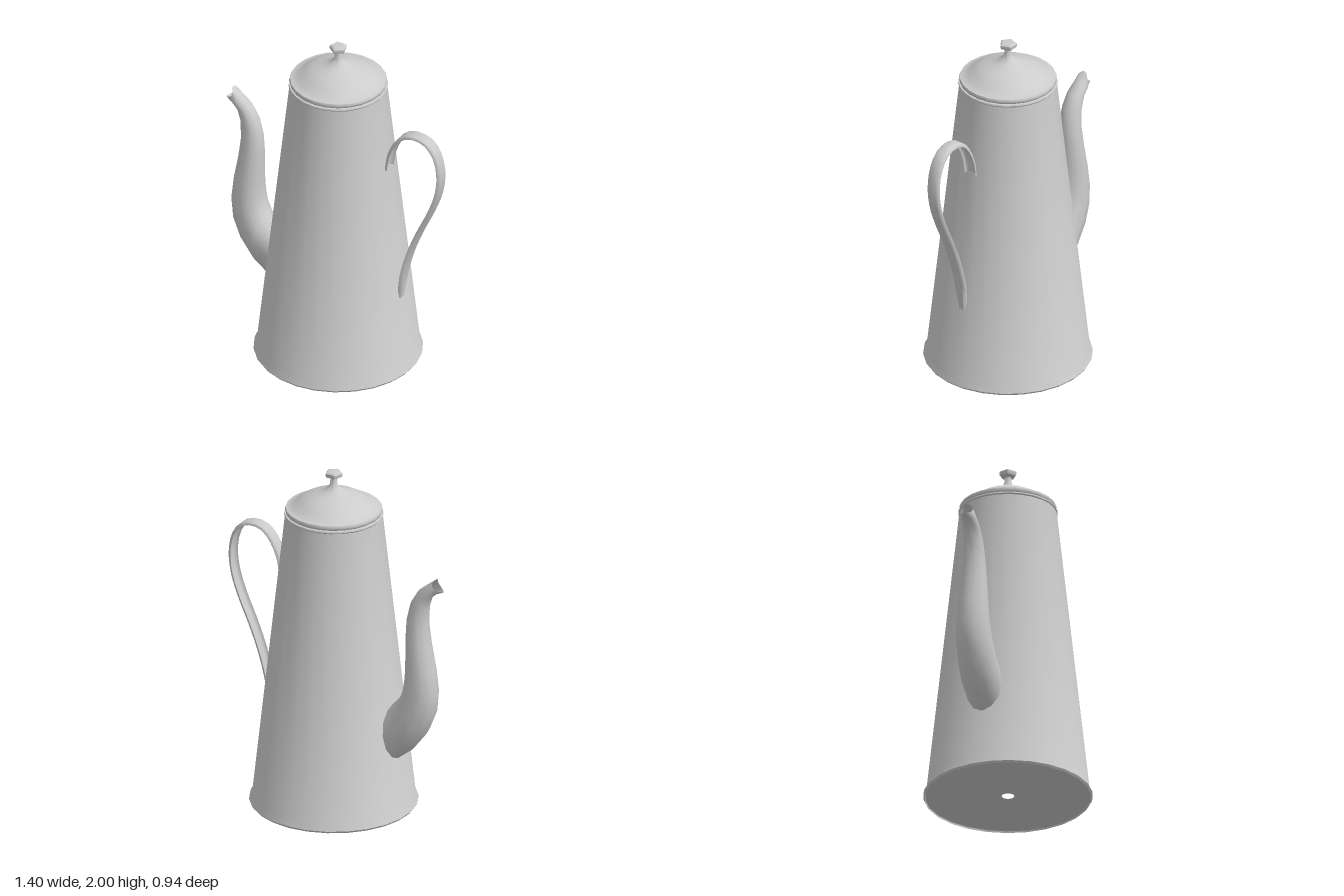
import * as THREE from 'three';
import { toCreasedNormals } from 'three/addons/utils/BufferGeometryUtils.js';

const AXIS = 0.02; // x of the pot's axis
const solid = new THREE.MeshStandardMaterial({ color: 0xcccccc });
const thin = new THREE.MeshStandardMaterial({ color: 0xcccccc, side: THREE.DoubleSide });

// Profile of [radius, y] turned round the pot's axis
function lathe(name, profile, sides, crease = 0.6) {
  const geo = new THREE.LatheGeometry(profile.map(([r, y]) => new THREE.Vector2(r, y)), sides);
  const mesh = new THREE.Mesh(toCreasedNormals(geo, crease), solid);
  mesh.position.x = AXIS;
  mesh.name = name;
  return mesh;
}

// Skin over rows of points; closed joins each row's end to its start
function loft(name, rows, closed, crease) {
  const n = rows[0].length, index = [];
  for (let i = 0; i < rows.length - 1; i++) {
    for (let j = 0; j < (closed ? n : n - 1); j++) {
      const a = i * n + j, b = i * n + (j + 1) % n;
      index.push(a, b, a + n, b, b + n, a + n);
    }
  }
  const geo = new THREE.BufferGeometry();
  geo.setAttribute('position', new THREE.Float32BufferAttribute(rows.flat(2), 3));
  geo.setIndex(index);
  geo.computeVertexNormals();
  const mesh = new THREE.Mesh(toCreasedNormals(geo, crease), thin);
  mesh.name = name;
  return mesh;
}

function makeSpout() {
  // Each section: outer x, y, inner x, y, half width in z
  const sections = [
    [-0.40, 0.35, -0.365, 0.67, 0.105],
    [-0.50, 0.43, -0.43, 0.74, 0.108],
    [-0.59, 0.545, -0.455, 0.81, 0.104],
    [-0.64, 0.66, -0.463, 0.88, 0.098],
    [-0.655, 0.79, -0.465, 0.95, 0.092],
    [-0.64, 0.93, -0.465, 1.04, 0.084],
    [-0.612, 1.08, -0.465, 1.13, 0.074],
    [-0.597, 1.20, -0.47, 1.23, 0.064],
    [-0.60, 1.31, -0.495, 1.335, 0.056],
    [-0.622, 1.38, -0.54, 1.41, 0.05],
    [-0.655, 1.41, -0.60, 1.46, 0.044],
    [-0.70, 1.43, -0.66, 1.505, 0.034],
  ];
  const sides = 12;
  const rows = sections.map(([x0, y0, x1, y1, w], i) => {
    // The base wraps the body and the mouth is notched at its sides
    const bend = i === 0 ? 0.02 : i === sections.length - 1 ? 0.035 : 0;
    return Array.from({ length: sides }, (_, j) => {
      const a = j / sides * Math.PI * 2, c = Math.cos(a) / 2, s = Math.sin(a);
      return [(x0 + x1) / 2 + (x0 - x1) * c + bend * s * s,
        (y0 + y1) / 2 + (y0 - y1) * c, w * s];
    });
  });
  return loft('spout', rows, true, 0.9);
}

function makeHandle() {
  const path = new THREE.CatmullRomCurve3([
    [0.335, 1.30], [0.352, 1.40], [0.40, 1.50], [0.46, 1.56], [0.53, 1.577], [0.61, 1.555],
    [0.67, 1.48], [0.695, 1.36], [0.68, 1.23], [0.63, 1.09], [0.565, 0.95], [0.505, 0.80],
    [0.462, 0.65], [0.433, 0.47],
  ].map(([x, y]) => new THREE.Vector3(x, y, 0)));
  // Channel-shaped strap: across z, depth towards the inside of the loop
  const section = [[-0.04, 0.02], [-0.037, 0.008], [-0.026, 0], [0.026, 0], [0.037, 0.008], [0.04, 0.02]];
  const steps = 32, rows = [];
  for (let i = 0; i <= steps; i++) {
    const p = path.getPointAt(i / steps), t = path.getTangentAt(i / steps);
    const w = i / steps > 0.9 ? 1 - (i / steps - 0.9) * 4 : 1; // narrower lower end
    rows.push(section.map(([z, d]) => [p.x + t.y * d, p.y - t.x * d, z * w]));
  }
  return loft('handle', rows, false, 0.7);
}

export function createModel() {
  const pot = new THREE.Group();
  pot.name = 'coffeePot';

  // Tapered body with a flared foot, rolled top edge and small hole underneath
  pot.add(lathe('body', [
    [0.035, 0.01], [0.462, 0.01], [0.464, 0], [0.472, 0.012], [0.47, 0.02], [0.455, 0.045],
    [0.272, 1.735], [0.277, 1.742], [0.275, 1.75], [0.26, 1.752],
  ], 26));

  // Domed lid with a rim
  pot.add(lathe('lid', [
    [0.255, 1.745], [0.268, 1.755], [0.272, 1.77], [0.268, 1.78], [0.255, 1.782], [0.225, 1.795],
    [0.19, 1.825], [0.15, 1.848], [0.10, 1.866], [0.06, 1.882], [0.035, 1.9], [0.022, 1.92],
    [0.018, 1.96],
  ], 24, 0.8));

  // Five-sided knob
  pot.add(lathe('knob', [
    [0.018, 1.945], [0.022, 1.958], [0.046, 1.967], [0.05, 1.975], [0.05, 1.99], [0.04, 1.997], [0, 2],
  ], 5, 0.4));

  pot.add(makeSpout(), makeHandle());
  return pot;
}
